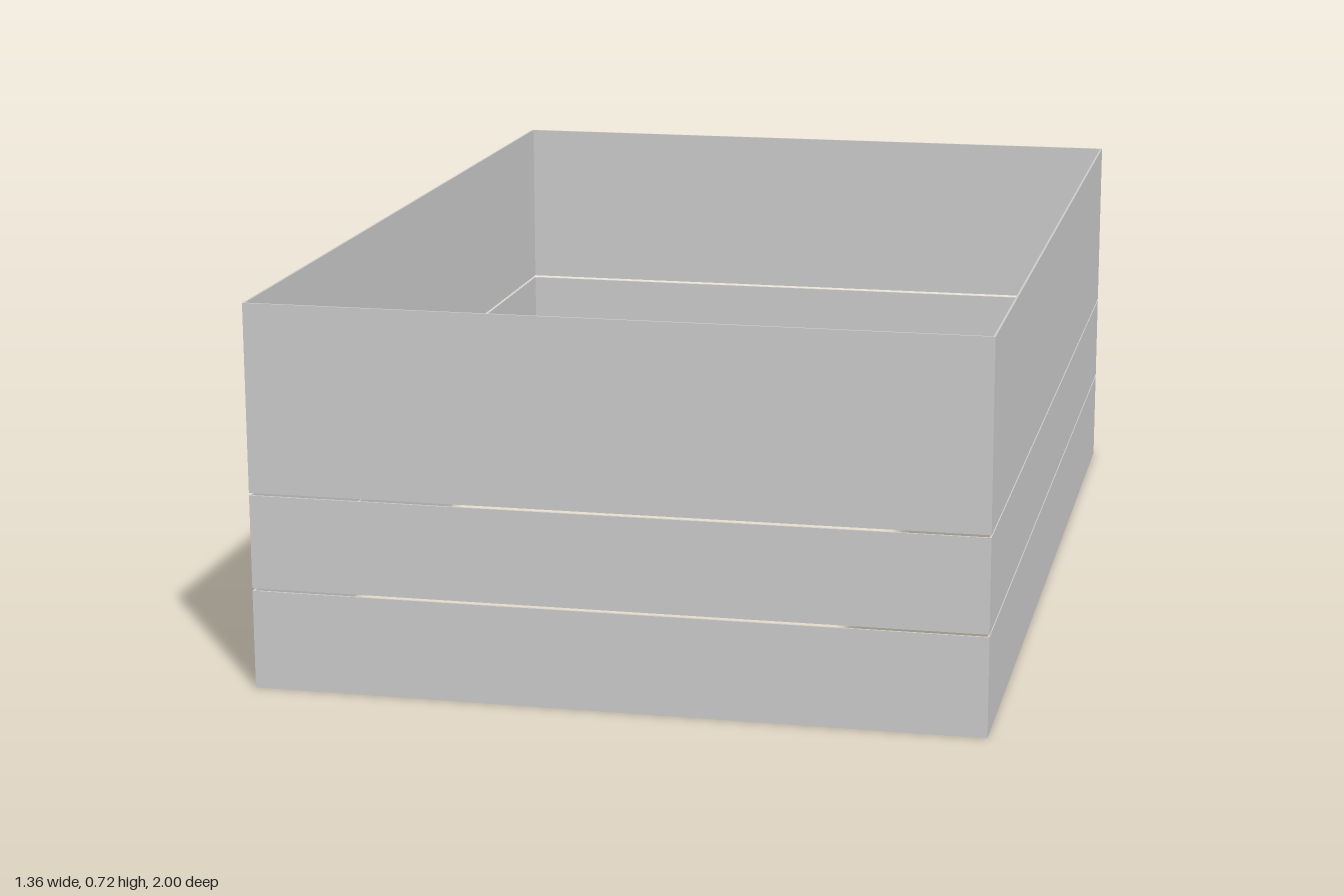
import * as THREE from 'three';

const W = 1.356, D = 2, T = 0.004; // footprint and wall thickness
const bands = [
  { name: 'lower', y0: 0, y1: 0.186 },
  { name: 'middle', y0: 0.191, y1: 0.367 },
  { name: 'upper', y0: 0.372, y1: 0.725 },
];

export function createModel() {
  const model = new THREE.Group();
  model.name = 'wallEnclosure';
  const material = new THREE.MeshStandardMaterial({ color: 0xcccccc, flatShading: true });

  const add = (name, geometry, x, y, z) => {
    const mesh = new THREE.Mesh(geometry, material);
    mesh.name = name;
    mesh.position.set(x, y, z);
    model.add(mesh);
  };

  // Three courses of thin panels, separated by narrow open joints
  for (const { name, y0, y1 } of bands) {
    const h = y1 - y0, y = (y0 + y1) / 2;
    for (const s of [1, -1]) {
      add(`${name}${s > 0 ? 'Left' : 'Right'}Wall`,
        new THREE.BoxGeometry(T, h, D - 2 * T), s * (W - T) / 2, y, 0);
    }
    add(`${name}FrontWall`, new THREE.BoxGeometry(W, h, T), 0, y, (D - T) / 2);
    if (name !== 'lower') {
      add(`${name}BackWall`, new THREE.BoxGeometry(W, h, T), 0, y, -(D - T) / 2);
    }
  }

  // Lower back panel with a doorway notch
  const doorX0 = -0.157, doorX1 = 0, doorTop = 0.155, top = bands[0].y1;
  const outline = new THREE.Shape([
    [-W / 2, 0], [doorX0, 0], [doorX0, doorTop], [doorX1, doorTop],
    [doorX1, 0], [W / 2, 0], [W / 2, top], [-W / 2, top],
  ].map(([x, y]) => new THREE.Vector2(x, y)));
  add('lowerBackWallWithDoorway',
    new THREE.ExtrudeGeometry(outline, { depth: T, bevelEnabled: false }), 0, 0, -D / 2);

  return model;
}
